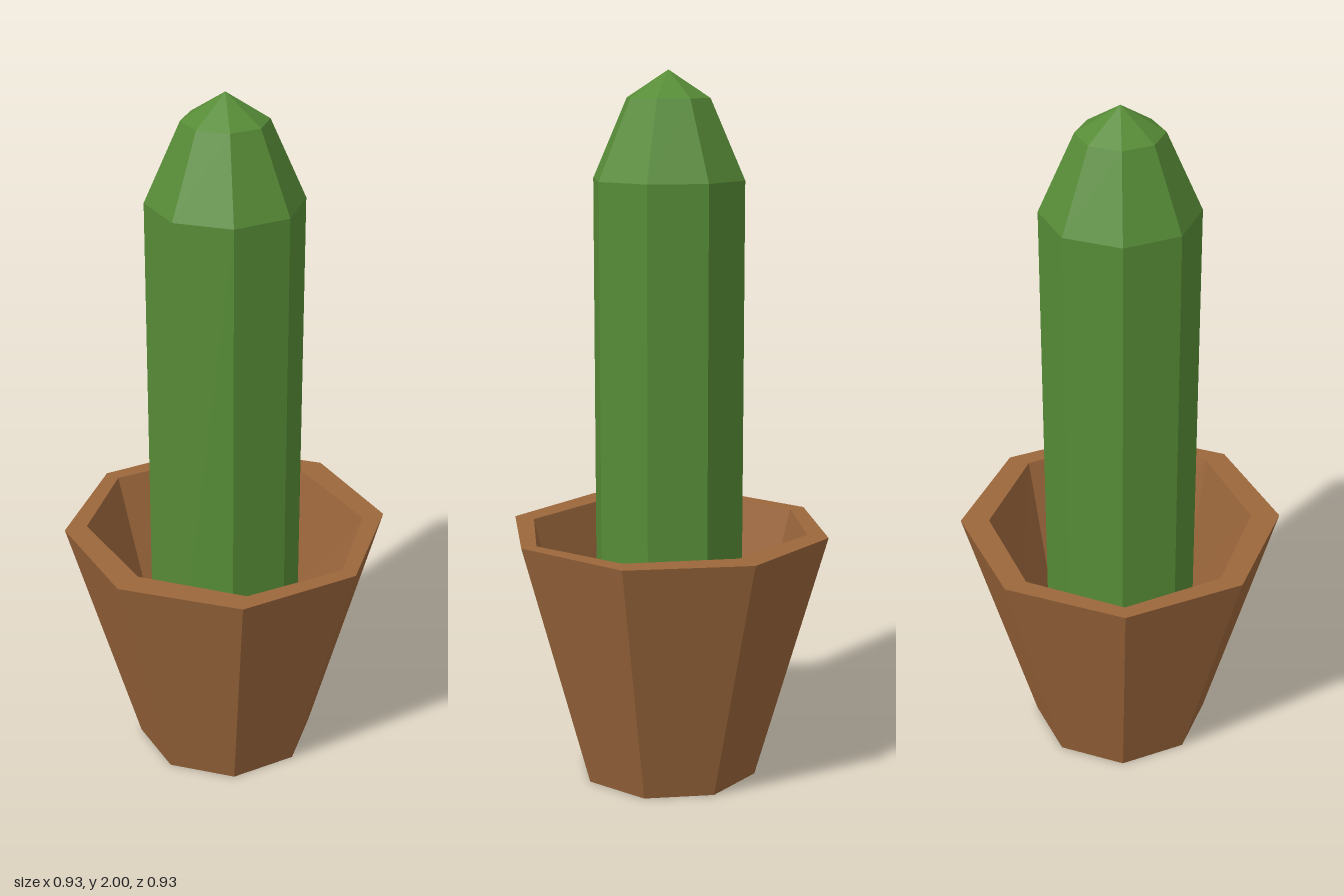
import * as THREE from 'three';

const SIDES = 8;

// Joins octagonal rings [radiusX, radiusZ, y], listed from the outer bottom onwards
function loft(rings) {
  const pos = [];
  const point = ([rx, rz, y], j) => {
    const t = (j % SIDES) / SIDES * Math.PI * 2;
    return [rx * Math.sin(t), y, rz * Math.cos(t)];
  };
  for (let i = 0; i < rings.length - 1; i++) {
    const lo = rings[i], hi = rings[i + 1];
    for (let j = 0; j < SIDES; j++) {
      const a = point(lo, j), b = point(lo, j + 1);
      const c = point(hi, j + 1), d = point(hi, j);
      if (lo[0] > 0) pos.push(...a, ...b, ...c);
      if (hi[0] > 0) pos.push(...a, ...c, ...d);
    }
  }
  const g = new THREE.BufferGeometry();
  g.setAttribute('position', new THREE.Float32BufferAttribute(pos, 3));
  g.computeVertexNormals();
  return g;
}

function material(name, color) {
  const m = new THREE.MeshStandardMaterial({ color, flatShading: true });
  m.name = name;
  return m;
}

export function createModel() {
  const group = new THREE.Group();
  group.name = 'pottedCactus';
  const clay = material('clay brown', 0x9c673c);
  const green = material('cactus green', 0x578c37);

  const add = (name, geometry, mat) => {
    const mesh = new THREE.Mesh(geometry, mat);
    mesh.name = name;
    group.add(mesh);
    return mesh;
  };

  // Flared pot: underside, outer wall, rim, inner wall and floor
  add('pot', loft([
    [0, 0, 0],
    [0.258, 0.258, 0],
    [0.463, 0.463, 0.72],
    [0.417, 0.381, 0.72],
    [0.3, 0.3, 0.31],
    [0, 0, 0.31],
  ]), clay);

  // Straight stem with a faceted pointed tip
  add('cactus', loft([
    [0, 0, 0.305],
    [0.216, 0.216, 0.305],
    [0.216, 0.216, 1.705],
    [0.118, 0.118, 1.925],
    [0, 0, 2],
  ]), green);

  // Flat green base lying on the pot floor, slightly off to one side
  const base = add('cactusBase', loft([
    [0, 0, 0],
    [0.218, 0.218, 0],
    [0.218, 0.218, 0.006],
    [0, 0, 0.006],
  ]), green);
  base.position.set(-0.032, 0.309, 0);

  return group;
}
